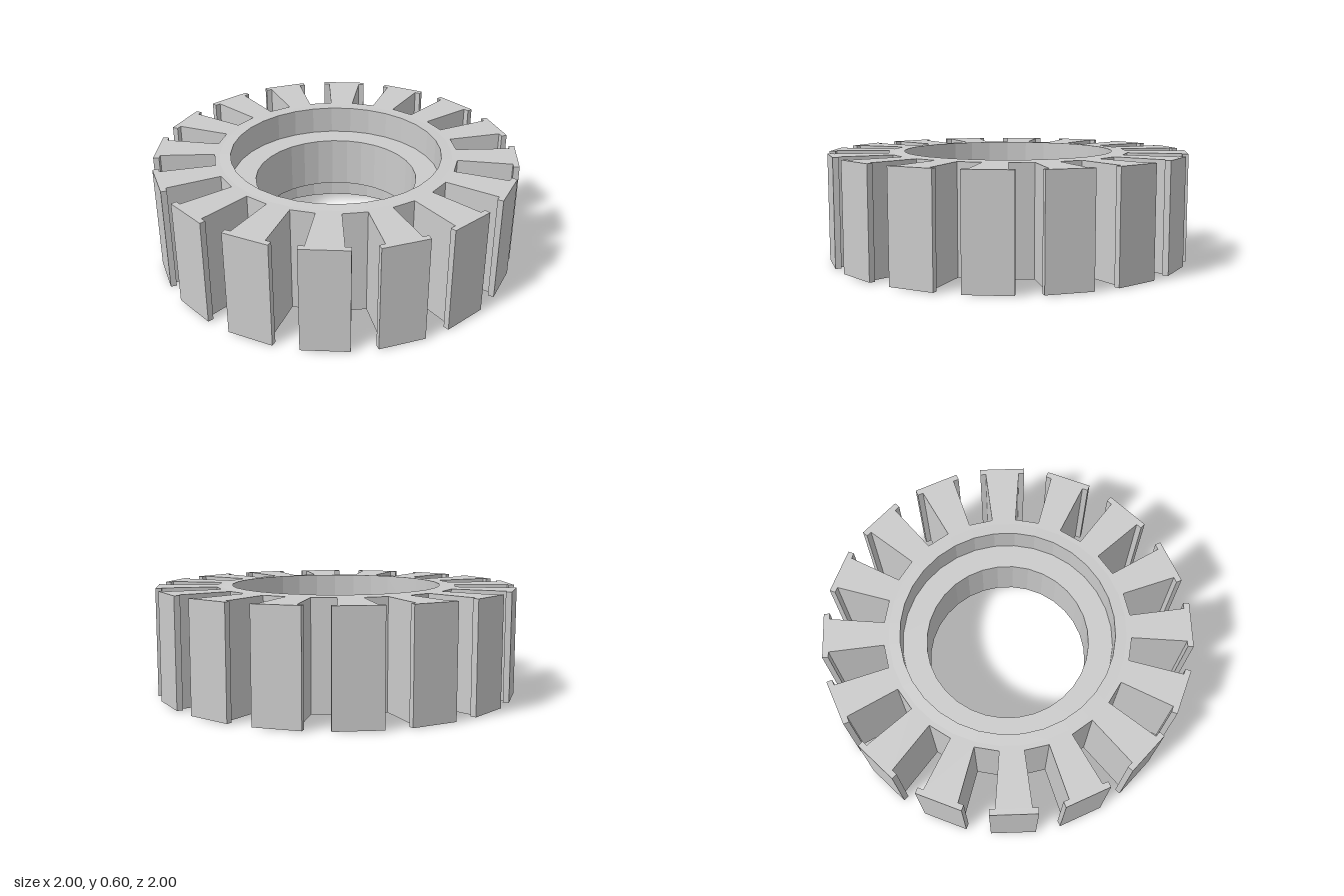
import * as THREE from 'three';

const TEETH = 16;
const SEGMENTS = 32;
const BOTTOM = 0.004, TOP = 0.594;
const RIM_RADIUS = 0.64; // where the toothed ring meets the hub

// Closed outline of the toothed ring: slot floor, neck and overhanging lip per tooth
function toothedOutline() {
  const half = Math.PI / TEETH / 2;
  const tan = Math.tan(half);
  const rootR = 0.664, neckR = 0.96, tipR = 0.992, lipHalf = 0.126;
  const profile = [
    [rootR, -rootR * tan], [neckR, -neckR * tan], [neckR, -lipHalf], [tipR, -lipHalf],
    [tipR, lipHalf], [neckR, lipHalf], [neckR, neckR * tan], [rootR, rootR * tan],
  ];
  const points = [];
  for (let i = 0; i < TEETH; i++) {
    const angle = half + (i * 2 * Math.PI) / TEETH;
    for (const [r, t] of profile) {
      points.push(new THREE.Vector2(r, t).rotateAround(new THREE.Vector2(), angle));
    }
  }
  return points;
}

export function createModel() {
  const model = new THREE.Group();
  model.name = 'slottedCore';
  const material = new THREE.MeshStandardMaterial({ color: 0xcccccc, flatShading: true });

  // Toothed ring, extruded upwards
  const shape = new THREE.Shape(toothedOutline());
  const hole = [];
  for (let i = 0; i < SEGMENTS; i++) {
    const a = (-i * 2 * Math.PI) / SEGMENTS;
    hole.push(new THREE.Vector2(Math.cos(a) * RIM_RADIUS, Math.sin(a) * RIM_RADIUS));
  }
  shape.holes.push(new THREE.Path(hole));
  const ringGeometry = new THREE.ExtrudeGeometry(shape, { depth: TOP - BOTTOM, bevelEnabled: false });
  ringGeometry.rotateX(-Math.PI / 2).translate(0, BOTTOM, 0);
  const ring = new THREE.Mesh(ringGeometry, material);
  ring.name = 'toothedRing';
  model.add(ring);

  // Hub: shallow rims, a recess on each side and the central bore
  const hubProfile = [
    [RIM_RADIUS, TOP], [0.58, 0.598], [0.58, 0.443], [0.447, 0.443],
    [0.447, 0.155], [0.58, 0.155], [0.58, 0], [RIM_RADIUS, BOTTOM],
  ].map(([r, y]) => new THREE.Vector2(r, y));
  const hub = new THREE.Mesh(new THREE.LatheGeometry(hubProfile, SEGMENTS), material);
  hub.name = 'hub';
  model.add(hub);

  return model;
}
